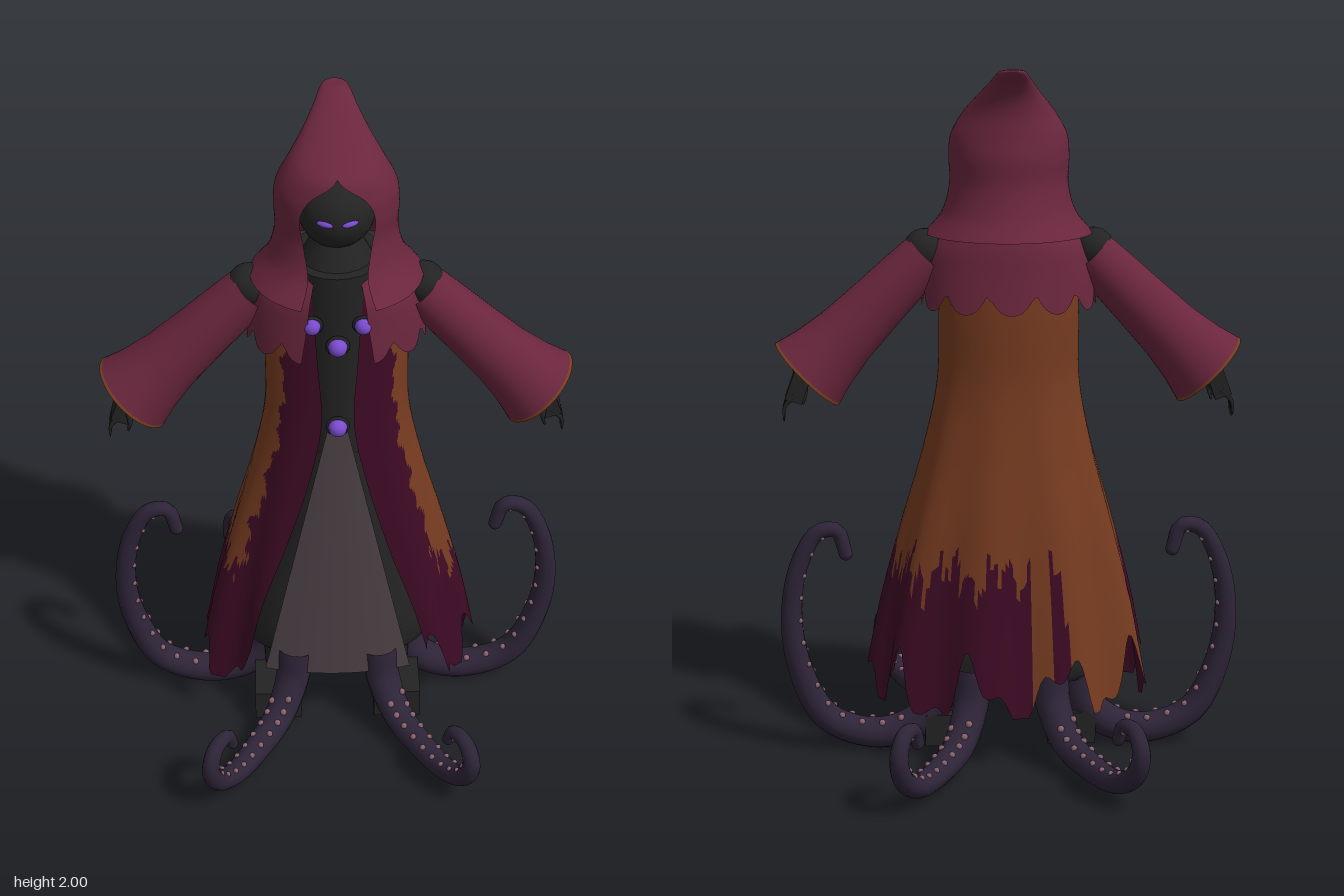
import * as THREE from 'three';

const mat = (name, color, side = THREE.FrontSide) => {
  const m = new THREE.MeshStandardMaterial({ color, side });
  m.name = name;
  return m;
};

// Cubic interpolation through the rows of a profile table, t in 0..1
function sample(table, t) {
  const f = Math.min(Math.max(t, 0), 1) * (table.length - 1);
  const i = Math.min(Math.floor(f), table.length - 2), k = f - i;
  const row = (n) => table[Math.min(Math.max(n, 0), table.length - 1)];
  return table[i].map((b, c) => {
    const a = row(i - 1)[c], d = row(i + 1)[c], e = row(i + 2)[c];
    return b + 0.5 * k * (d - a + k * (2 * a - 5 * b + 4 * d - e + k * (3 * (b - d) + e - a)));
  });
}

// Cloth shell from oval rings [y, halfWidth, zFront, zBack, halfGap], open at the front.
// end(angle) shortens columns into a ragged hem; wave(angle, t) ripples; pick(angle, y) chooses a material
function shell(table, cols, rows, { power = 1, end = () => 1, wave = () => 1, pick = () => 0 } = {}) {
  const pos = [], info = [], lists = [[], []];
  for (let r = 0; r <= rows; r++) {
    for (let c = 0; c <= cols; c++) {
      const s = c / cols, t = (r / rows) * end(s * Math.PI * 2);
      const [y, a, zf, zb, gap] = sample(table, t);
      const open = Math.asin(Math.min(Math.max(gap / Math.max(a, 0.001), 0), 1));
      const q = open + s * (Math.PI * 2 - 2 * open);
      const mid = (zf + zb) / 2, half = (zf - zb) / 2, cos = Math.cos(q), w = wave(q, t);
      const z = cos > 0 ? Math.pow(cos, power) : cos;
      pos.push(a * Math.sin(q) * w, y, mid + half * z * w);
      info.push([q, y]);
    }
  }
  for (let r = 0; r < rows; r++) {
    for (let c = 0; c < cols; c++) {
      const i = r * (cols + 1) + c, j = i + cols + 1;
      lists[pick(...info[i])].push(i, j, i + 1, i + 1, j, j + 1);
    }
  }
  const g = new THREE.BufferGeometry();
  g.setAttribute('position', new THREE.Float32BufferAttribute(pos, 3));
  g.setIndex([...lists[0], ...lists[1]]);
  g.addGroup(0, lists[0].length, 0);
  g.addGroup(lists[0].length, lists[1].length, 1);
  g.computeVertexNormals();
  return g;
}

// Tube whose radius tapers from r0 to r1
function taperTube(curve, r0, r1, seg, sides) {
  const g = new THREE.TubeGeometry(curve, seg, 1, sides);
  const p = g.attributes.position, v = new THREE.Vector3();
  for (let i = 0; i < p.count; i++) {
    const u = Math.floor(i / (sides + 1)) / seg, c = curve.getPointAt(u);
    v.fromBufferAttribute(p, i).sub(c).multiplyScalar(r0 + (r1 - r0) * u).add(c);
    p.setXYZ(i, v.x, v.y, v.z);
  }
  return g;
}

export function createModel() {
  const root = new THREE.Group();
  const D = THREE.DoubleSide;
  const wine = mat('wineCloth', 0x6a263d, D), maroon = mat('darkMaroonCloth', 0x3d0a24, D);
  const brown = mat('brownCloth', 0x763b20, D), grey = mat('greyCloth', 0x4b4045, D);
  const black = mat('blackBody', 0x232323, D), violet = mat('violetGem', 0x7b4bd0);
  const skin = mat('tentacleSkin', 0x2e2438), sucker = mat('suckerPink', 0x8a6270);
  const add = (name, geo, m, x = 0, y = 0, z = 0, parent = root) => {
    const mesh = new THREE.Mesh(geo, m);
    mesh.name = name;
    mesh.position.set(x, y, z);
    parent.add(mesh);
    return mesh;
  };

  // Hood with bent tip and face opening
  add('hood', shell([
    [1.53, 0.238, 0.25, -0.205, 0.1], [1.59, 0.19, 0.19, -0.165, 0.08], [1.67, 0.168, 0.16, -0.14, 0.09],
    [1.75, 0.17, 0.158, -0.138, 0.1], [1.81, 0.163, 0.15, -0.128, 0.075], [1.87, 0.13, 0.125, -0.122, 0],
    [1.92, 0.092, 0.03, -0.132, 0], [1.96, 0.062, -0.06, -0.16, 0], [1.998, 0.034, -0.14, -0.203, 0],
    [2.0, 0.001, -0.17, -0.172, 0]], 64, 72), wine);

  // Ragged shoulder mantle
  add('mantle', shell([
    [1.57, 0.15, 0.13, -0.12, 0.06], [1.5, 0.215, 0.165, -0.14, 0.075], [1.42, 0.24, 0.175, -0.15, 0.085],
    [1.32, 0.25, 0.185, -0.165, 0.1]], 96, 14,
    { end: (q) => 0.8 + 0.2 * Math.abs(Math.cos(q * 5)) }), wine);

  // Long coat: maroon with brown sides and back, ragged colour edge and hem
  const jag = (q) => 0.04 * Math.sin(q * 37) + 0.03 * Math.sin(q * 91) + 0.03 * Math.sin(q * 13);
  const isBrown = (q, y) => {
    const deg = (q > Math.PI ? q - Math.PI * 2 : q) * 180 / Math.PI;
    if (Math.abs(deg) < 50 + (1.25 - y) * 18 + 5 * Math.sin(y * 23) * Math.sin(y * 57)) return 0;
    const toHem = deg < -112 && deg > -172 && Math.abs(deg + 160) > 3;
    return y > (toHem ? 0 : 0.58 + jag(q)) ? 1 : 0;
  };
  add('coat', shell([
    [1.52, 0.19, 0.13, -0.12, 0.07], [1.3, 0.2, 0.145, -0.125, 0.055], [1.1, 0.205, 0.158, -0.125, 0.046],
    [0.9, 0.245, 0.175, -0.15, 0.085], [0.68, 0.305, 0.2, -0.185, 0.15], [0.45, 0.36, 0.225, -0.215, 0.222],
    [0.16, 0.41, 0.245, -0.25, 0.285]], 160, 90, {
    power: 0.7,
    end: (q) => 0.955 - 0.05 * Math.sin(q * 7 + 1.2) - 0.025 * Math.sin(q * 17),
    wave: (q, t) => 1 + 0.065 * t * t * Math.sin(q * 9 + 0.6),
    pick: isBrown,
  }), [maroon, brown]);

  // Grey front panel
  const panel = new THREE.PlaneGeometry(2, 1, 12, 12), pp = panel.attributes.position;
  for (let i = 0; i < pp.count; i++) {
    const k = 0.5 - pp.getY(i), s = pp.getX(i);
    pp.setXYZ(i, s * (0.03 + 0.187 * k), 1.07 - 0.855 * k, 0.143 + 0.055 * k - 0.03 * k * s * s);
  }
  panel.computeVertexNormals();
  add('frontPanel', panel, grey);

  // Dark body: underskirt, torso, neck and head
  add('underskirt', shell([[1.08, 0.08, 0.125, -0.08, 0], [0.65, 0.2, 0.145, -0.12, 0],
    [0.24, 0.27, 0.16, -0.15, 0], [0.24, 0.001, 0.001, 0, 0]], 40, 24), black);
  add('torso', new THREE.CylinderGeometry(0.13, 0.115, 0.6, 24), black, 0, 1.28, 0.01).scale.z = 1.08;
  add('neck', new THREE.CylinderGeometry(0.05, 0.11, 0.12, 20), black, 0, 1.62, 0.02);
  add('head', new THREE.SphereGeometry(0.105, 32, 24), black, 0, 1.73, 0.03);

  // Gems down the chest
  for (const [x, y, z, r] of [[0, 1.365, 0.155, 0.027], [0, 1.095, 0.155, 0.027], [0.07, 1.43, 0.15, 0.024], [-0.07, 1.43, 0.15, 0.024]]) {
    add('gem', new THREE.SphereGeometry(r, 14, 10), violet, x, y, z);
    add('gemSetting', new THREE.TorusGeometry(r, 0.007, 6, 16), black, x, y, z - 0.006);
  }

  // Sleeve profile runs along +y from the cuff to the shoulder
  const cuffPos = new THREE.Vector3(0.57, 1.132, 0.01), shoulder = new THREE.Vector3(0.235, 1.468, 0.01);
  const axis = shoulder.clone().sub(cuffPos), len = axis.length();
  const profile = [[0.124, 0], [0.108, 0.06], [0.093, 0.15], [0.083, 0.28], [0.076, 0.4], [0.07, len]]
    .map(([r, h]) => new THREE.Vector2(r, h));
  for (const side of [1, -1]) {
    const arm = new THREE.Group();
    arm.name = side > 0 ? 'leftArm' : 'rightArm';
    root.add(arm);
    const S = (x, y, z) => new THREE.Vector3(x * side, y, z);
    const turn = new THREE.Quaternion().setFromUnitVectors(new THREE.Vector3(0, 1, 0), S(axis.x, axis.y, 0).normalize());
    const cuff = S(cuffPos.x, cuffPos.y, cuffPos.z);
    add('sleeve', new THREE.LatheGeometry(profile, 32), wine, ...cuff, arm).quaternion.copy(turn);
    const rim = add('cuffTrim', new THREE.CylinderGeometry(0.121, 0.127, 0.016, 32, 1, true), brown, ...cuff, arm);
    rim.quaternion.copy(turn);
    add('shoulder', new THREE.SphereGeometry(0.06, 20, 14), black, side * 0.24, 1.482, 0.01, arm);
    const bone = new THREE.LineCurve3(S(0.22, 1.49, 0.01), S(0.595, 1.115, 0.01));
    add('forearm', taperTube(bone, 0.05, 0.035, 4, 14), black, 0, 0, 0, arm);
    add('palm', new THREE.BoxGeometry(0.05, 0.085, 0.075), black, side * 0.603, 1.09, 0.015, arm).rotation.z = side * 0.35;
    // Clawed fingers and thumb
    for (let i = 0; i < 4; i++) {
      const z = -0.015 + i * 0.02;
      const finger = new THREE.CatmullRomCurve3([S(0.612, 1.07, z), S(0.642, 1.035, z), S(0.645, 0.985 + 0.008 * Math.abs(i - 1.5), z)]);
      add('finger', taperTube(finger, 0.011, 0.002, 6, 6), black, 0, 0, 0, arm);
    }
    const thumb = new THREE.CatmullRomCurve3([S(0.59, 1.1, 0.045), S(0.585, 1.06, 0.062), S(0.592, 1.025, 0.058)]);
    add('thumb', taperTube(thumb, 0.012, 0.003, 6, 6), black, 0, 0, 0, arm);

    // Eye, leg and boot of this side
    const eye = add('eye', new THREE.SphereGeometry(0.023, 14, 8), violet, side * 0.034, 1.738, 0.127);
    eye.scale.set(1, 0.38, 0.35);
    eye.rotation.set(0, side * 0.32, side * 0.1);
    add('leg', new THREE.CylinderGeometry(0.06, 0.05, 0.35, 16), black, side * 0.17, 0.27, 0.01);
    add('boot', new THREE.BoxGeometry(0.14, 0.095, 0.255), black, side * 0.18, 0.068, 0.048);
  }

  // Tentacles bend in an upright plane: points are [distance outward, height]
  const curl = [[0, 0.28], [0.02, 0.18], [0.1, 0.085], [0.22, 0.055], [0.36, 0.058], [0.45, 0.11],
    [0.477, 0.18], [0.445, 0.235], [0.385, 0.23], [0.362, 0.185]];
  const tall = [[0, 0.27], [0.02, 0.14], [0.1, 0.068], [0.21, 0.05], [0.34, 0.105], [0.415, 0.26],
    [0.435, 0.42], [0.41, 0.57], [0.355, 0.665], [0.3, 0.67], [0.275, 0.6]];
  const ball = new THREE.SphereGeometry(1, 7, 5);
  function tentacle(name, x, z, dx, dz, points, r1) {
    const g = new THREE.Group();
    g.name = name;
    root.add(g);
    const out = new THREE.Vector3(dx, 0, dz).normalize(), across = new THREE.Vector3(-out.z, 0, out.x);
    const curve = new THREE.CatmullRomCurve3(points.map(([s, y]) => new THREE.Vector3(x + out.x * s, y, z + out.z * s)));
    const r0 = 0.055, radius = (u) => r0 + (r1 - r0) * u;
    add('tentacleBody', taperTube(curve, r0, r1, 60, 14), skin, 0, 0, 0, g);
    add('tentacleTip', new THREE.SphereGeometry(r1, 14, 10), skin, ...curve.getPointAt(1), g);
    // Two staggered rows of suckers on the inside of the curl
    for (let i = 0; i < 26; i++) {
      const u = 0.2 + i * 0.029, t = curve.getTangentAt(u), along = t.dot(out);
      const n = out.clone().multiplyScalar(-t.y).add(new THREE.Vector3(0, along, 0));
      const dir = n.multiplyScalar(0.84).addScaledVector(across, i % 2 ? 0.54 : -0.54);
      const p = curve.getPointAt(u).addScaledVector(dir, radius(u) * 0.97);
      add('sucker', ball, sucker, ...p, g).scale.setScalar(0.012 - 0.006 * u);
    }
  }
  for (const s of [1, -1]) {
    tentacle('frontTentacle', s * 0.125, 0.15, s * 0.285, 0.46, curl, 0.018);
    tentacle('backTentacle', s * 0.11, -0.15, s * 0.24, -0.46, curl, 0.018);
    tentacle('sideTentacle', s * 0.2, -0.03, s, 0, tall, 0.02);
  }
  return root;
}
